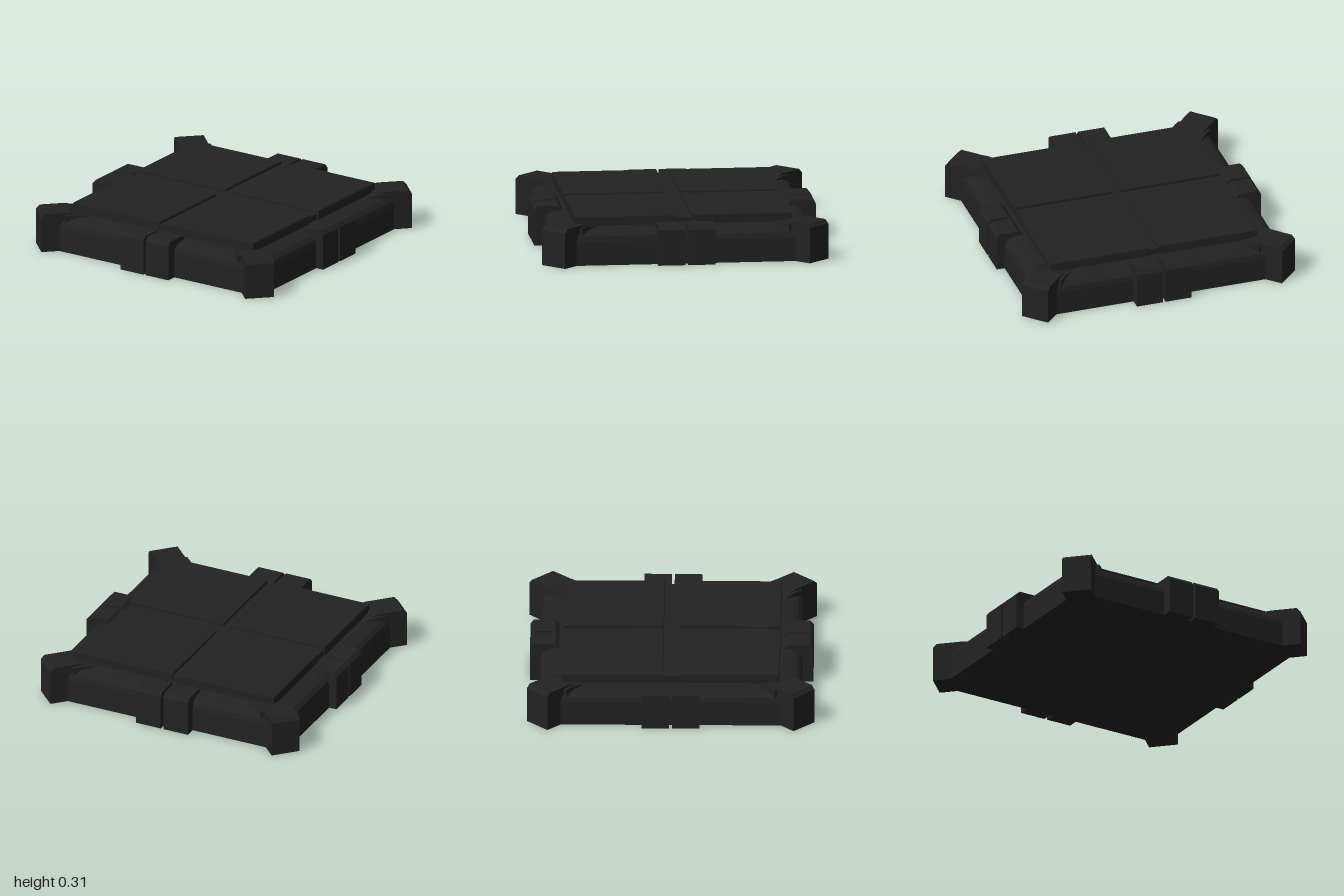
import * as THREE from 'three';

const material = new THREE.MeshStandardMaterial({ color: 0x222222, flatShading: true });

function add(parent, name, geometry) {
  const mesh = new THREE.Mesh(geometry, material);
  mesh.name = name;
  parent.add(mesh);
  return mesh;
}

// Side profile of (outward distance, height) points, extruded to a width centred on z
function profileBlock(points, width) {
  const shape = new THREE.Shape(points.map(([s, y]) => new THREE.Vector2(s, y)));
  const geometry = new THREE.ExtrudeGeometry(shape, { depth: width, bevelEnabled: false });
  return geometry.translate(0, 0, -width / 2);
}

// Square solid from (half side, height) points
function squareLoft(points) {
  const profile = points.map(([half, y]) => new THREE.Vector2(half * Math.SQRT2, y));
  return new THREE.LatheGeometry(profile, 4, Math.PI / 4);
}

export function createModel() {
  const model = new THREE.Group();
  model.name = 'floorTile';

  // Square base with a rounded upper rim and a flat deck
  add(model, 'base', squareLoft([
    [0, 0], [0.91, 0], [0.91, 0.17], [0.9, 0.205], [0.875, 0.23], [0.84, 0.243], [0.78, 0.25], [0, 0.25],
  ]));

  // Raised core, visible as the floor of the cross-shaped gap
  add(model, 'core', new THREE.BoxGeometry(1.49, 0.055, 1.49)).position.y = 0.267;

  // Four top panels with a fine edge bevel
  const px = 0.724, pz = 0.7;
  for (const sx of [-1, 1]) {
    for (const sz of [-1, 1]) {
      const panel = add(model, 'topPanel', squareLoft([
        [0, 0.25], [0.5, 0.25], [0.5, 0.309], [0.496, 0.315], [0, 0.315],
      ]));
      panel.scale.set(px, 1, pz);
      panel.position.set(sx * (0.031 + px / 2), 0, sz * (0.056 + pz / 2));
    }
  }

  // A pair of clamps in the middle of every side
  for (let i = 0; i < 4; i++) {
    const reach = i % 2 ? 0.985 : 0.967;
    const pair = new THREE.Group();
    pair.name = 'clampPair';
    pair.rotation.y = i * Math.PI / 2;
    model.add(pair);
    for (const side of [-1, 1]) {
      const clamp = add(pair, 'clamp', profileBlock([
        [0.78, 0], [reach, 0], [reach, 0.25], [reach - 0.025, 0.278], [0.81, 0.278], [0.78, 0.25],
      ], 0.19));
      clamp.position.z = side * 0.105;
    }
  }

  // Diagonal corner brackets, each with a wider sloping foot toward the middle
  for (let i = 0; i < 4; i++) {
    const corner = new THREE.Group();
    corner.name = 'cornerBracket';
    corner.rotation.y = Math.PI / 4 + i * Math.PI / 2;
    model.add(corner);
    add(corner, 'cornerArm', profileBlock([
      [1.05, 0], [1.312, 0], [1.312, 0.25], [1.285, 0.278], [1.1, 0.278], [1.05, 0.262],
    ], 0.205));
    add(corner, 'cornerFoot', profileBlock([
      [0.98, 0.1], [1.15, 0.1], [1.15, 0.262], [1.09, 0.266], [0.98, 0.25],
    ], 0.25));
  }

  return model;
}
